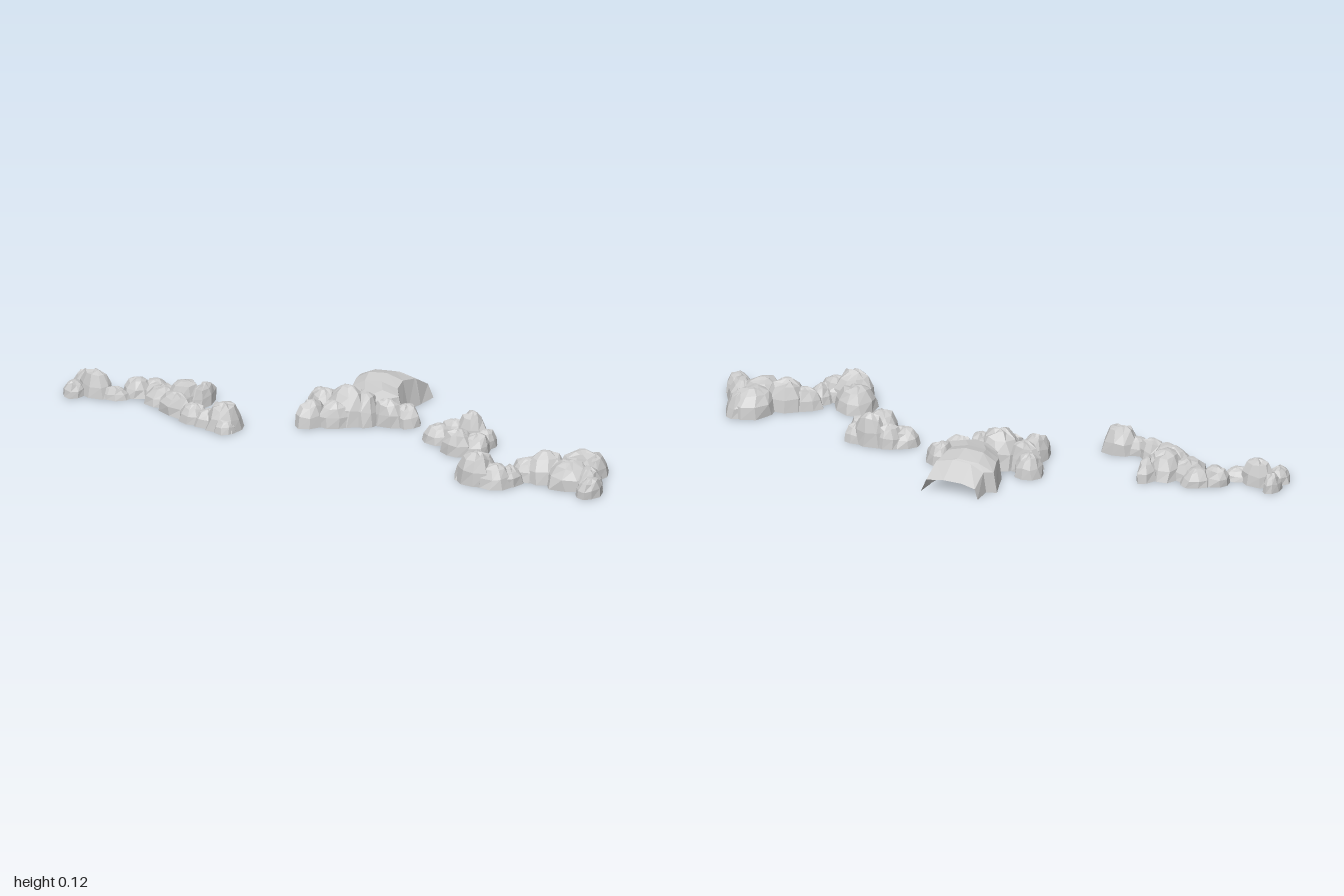
import * as THREE from 'three';

const material = new THREE.MeshStandardMaterial({ color: 0xcccccc, flatShading: true, side: THREE.DoubleSide });

// Seeded noise in the range -1..1
function seeded(seed) {
  let s = seed;
  return () => {
    s = (s * 16807) % 2147483647;
    return (s / 2147483647) * 2 - 1;
  };
}

// Crag silhouette: radius and height fractions, ground to summit
const PROFILE = [[1, 0], [0.88, 0.45], [0.6, 0.82], [0.24, 0.98]];

// Each rock: x, z, radius x, radius z, height, turn in degrees
const RIDGES = {
  farRightRidge: [
    [-0.965, 0.09, 0.03, 0.045, 0.06, 0], [-0.96, 0.165, 0.04, 0.045, 0.05, 0],
    [-0.90, 0.13, 0.065, 0.045, 0.085, 15], [-0.825, 0.13, 0.05, 0.035, 0.04, -15],
    [-0.77, 0.075, 0.055, 0.045, 0.06, 0], [-0.71, 0.045, 0.055, 0.05, 0.055, 0],
    [-0.67, 0.095, 0.065, 0.065, 0.06, 20], [-0.60, 0.075, 0.06, 0.07, 0.085, 0],
    [-0.55, 0.045, 0.036, 0.075, 0.07, 5], [-0.59, 0.15, 0.08, 0.05, 0.07, 25],
    [-0.505, 0.2, 0.055, 0.045, 0.062, 20], [-0.445, 0.215, 0.05, 0.04, 0.055, 0],
    [-0.39, 0.21, 0.065, 0.06, 0.088, 0], [-0.37, 0.24, 0.04, 0.04, 0.05, 0],
  ],
  centreRidge: [
    [-0.175, -0.085, 0.05, 0.055, 0.075, 0], [-0.14, -0.03, 0.065, 0.055, 0.095, 20],
    [-0.145, 0.05, 0.05, 0.065, 0.085, 20], [-0.05, -0.03, 0.09, 0.075, 0.125, -15],
    [-0.07, 0.02, 0.07, 0.05, 0.085, -30], [0.01, -0.04, 0.055, 0.055, 0.105, 0],
    [0.085, -0.06, 0.06, 0.04, 0.09, -10], [0.14, -0.085, 0.045, 0.05, 0.07, 0],
  ],
  innerLeftRidge: [
    [0.295, 0.005, 0.055, 0.05, 0.06, 0], [0.335, -0.025, 0.05, 0.045, 0.075, 0],
    [0.40, -0.03, 0.06, 0.04, 0.112, 0], [0.455, -0.025, 0.04, 0.04, 0.06, 0],
    [0.45, 0.035, 0.05, 0.055, 0.065, 0], [0.40, 0.06, 0.06, 0.055, 0.08, 30],
  ],
  farLeftRidge: [
    [0.545, 0.22, 0.075, 0.08, 0.08, 0], [0.575, 0.27, 0.075, 0.06, 0.107, 0],
    [0.64, 0.275, 0.06, 0.055, 0.075, 0], [0.675, 0.23, 0.045, 0.055, 0.06, 0],
    [0.71, 0.165, 0.065, 0.05, 0.07, -20], [0.77, 0.15, 0.08, 0.065, 0.1, -25],
    [0.86, 0.07, 0.075, 0.09, 0.088, 35], [0.895, 0.055, 0.042, 0.07, 0.075, -8],
    [0.86, 0.16, 0.085, 0.08, 0.085, 0], [0.93, 0.16, 0.045, 0.08, 0.07, -15],
    [0.955, 0.215, 0.042, 0.055, 0.06, 0],
  ],
};

// True when a point lies well inside a rock
function isInside([px, py, pz], [x, z, rx, rz, h, turn]) {
  const a = THREE.MathUtils.degToRad(turn);
  const dx = px - x, dz = pz - z;
  const u = (dx * Math.cos(a) + dz * Math.sin(a)) / rx;
  const v = (-dx * Math.sin(a) + dz * Math.cos(a)) / rz;
  const r = Math.hypot(u, v);
  return r < 0.9 && py < h * 0.9 * Math.sqrt(1 - (r / 0.9) ** 3);
}

function meshFrom(positions, name) {
  const geometry = new THREE.BufferGeometry();
  geometry.setAttribute('position', new THREE.Float32BufferAttribute(positions, 3));
  geometry.computeVertexNormals();
  const mesh = new THREE.Mesh(geometry, material);
  mesh.name = name;
  return mesh;
}

// Open-bottomed faceted rock; faces buried in neighbouring rocks are left out
function makeRock(rock, neighbours, seed) {
  const [x, z, rx, rz, h, turn] = rock;
  const rand = seeded(seed);
  for (let i = 0; i < 5; i++) rand();
  const sides = 9;
  const a = THREE.MathUtils.degToRad(turn);
  const leanX = rand() * 0.12, leanZ = rand() * 0.12;
  const place = (u, v, y) => [
    x + u * rx * Math.cos(a) - v * rz * Math.sin(a), y,
    z + u * rx * Math.sin(a) + v * rz * Math.cos(a),
  ];
  const flute = Array.from({ length: sides }, () => 1 + rand() * 0.08);
  const rings = PROFILE.map(([r, y]) => flute.map((f, i) => {
    const t = ((i + rand() * 0.15) / sides) * Math.PI * 2;
    const k = r * f * (1 + rand() * 0.06);
    const height = y === 0 ? 0 : h * Math.min(0.99, y * (1 + rand() * 0.12));
    return place(k * Math.cos(t) + leanX * y, k * Math.sin(t) + leanZ * y, height);
  }));
  const summit = place(leanX, leanZ, h);

  const positions = [];
  const face = (...corners) => {
    if (neighbours.some((n) => corners.every((c) => isInside(c, n)))) return;
    corners.forEach((c) => positions.push(...c));
  };
  for (let i = 0; i < sides; i++) {
    const j = (i + 1) % sides;
    for (let k = 0; k < rings.length - 1; k++) {
      const low = rings[k], high = rings[k + 1];
      face(low[i], high[i], low[j]);
      face(low[j], high[i], high[j]);
    }
    const top = rings[rings.length - 1];
    face(top[i], summit, top[j]);
  }
  return meshFrom(positions, 'rock');
}

// Arched slab, open at the back: z, right edge, left edge, height
function makeSlab() {
  const arch = [[0, 0], [0.05, 0.7], [0.28, 0.94], [0.6, 1], [0.9, 0.86], [1, 0]];
  const sections = [
    [-0.05, -0.06, 0.05, 0.085], [-0.10, -0.08, 0.12, 0.097], [-0.15, -0.105, 0.09, 0.104],
    [-0.20, -0.115, 0.085, 0.116], [-0.26, -0.13, 0.10, 0.102],
    [-0.268, -0.095, 0.10, 0.099], [-0.335, -0.09, 0.11, 0.052],
  ].map(([z, x0, x1, h]) => arch.map(([u, v]) => [x0 + (x1 - x0) * u, v * h, z]));
  const positions = [];
  for (let k = 0; k < sections.length - 1; k++) {
    const front = sections[k], back = sections[k + 1];
    for (let i = 0; i < arch.length - 1; i++) {
      positions.push(...front[i], ...front[i + 1], ...back[i]);
      positions.push(...front[i + 1], ...back[i + 1], ...back[i]);
    }
  }
  return meshFrom(positions, 'archedSlab');
}

export function createModel() {
  const model = new THREE.Group();
  model.name = 'rockyRidges';
  let seed = 11;
  for (const [name, rocks] of Object.entries(RIDGES)) {
    const ridge = new THREE.Group();
    ridge.name = name;
    for (const rock of rocks) {
      seed += 7919;
      ridge.add(makeRock(rock, rocks.filter((r) => r !== rock), seed));
    }
    if (name === 'centreRidge') ridge.add(makeSlab());
    model.add(ridge);
  }
  return model;
}
